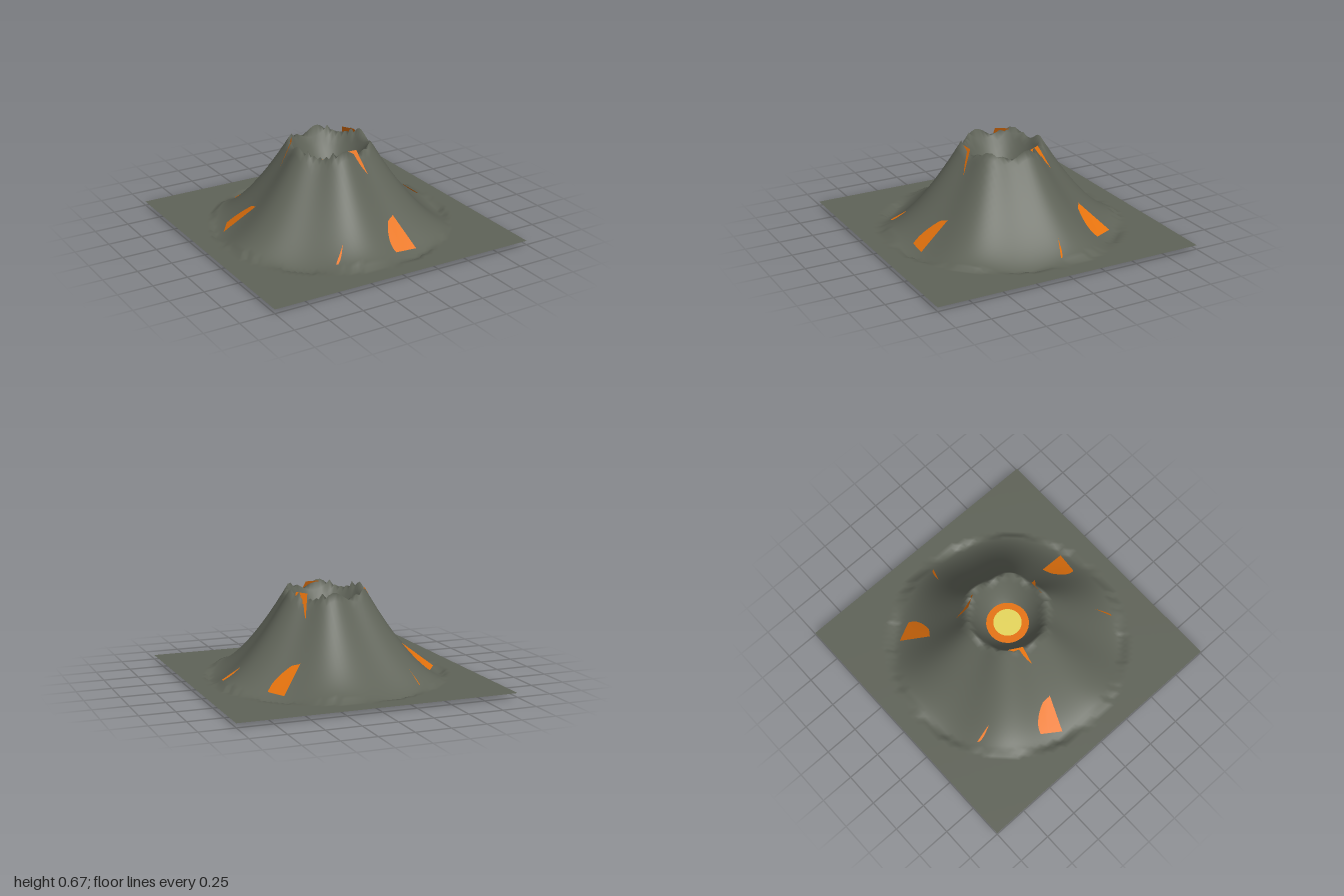
import * as THREE from 'three';

const BASE_Y = 0.03, FOOT = 0.845, RIM = 0.27;

// Ground height: flat plain, six-fold rippled cone, and a bowl-shaped crater
function height(x, z) {
  const r = Math.hypot(x, z);
  if (r > FOOT) return BASE_Y;
  if (r < RIM) return 0.36 + 3.7 * r * r;
  const t = Math.max(0, (0.84 - r) / 0.56);
  return BASE_Y + 0.62 * Math.pow(t, 1.5) - 0.03 * Math.sin(6 * Math.atan2(z, x));
}

function terrainGeometry() {
  const geo = new THREE.PlaneGeometry(2, 2, 64, 64);
  geo.rotateX(-Math.PI / 2);
  const p = geo.attributes.position;
  for (let i = 0; i < p.count; i++) p.setY(i, height(p.getX(i), p.getZ(i)));
  geo.computeVertexNormals();
  return geo;
}

// Ribbon lofted between left and right edge points, from the rim to the foot
function flowGeometry() {
  const rows = [
    [[-0.05, 0.655, 0.27], [0.05, 0.655, 0.27]],
    [[-0.08, 0.38, 0.4], [0.13, 0.38, 0.4]],
    [[-0.12, 0.28, 0.5], [0.19, 0.245, 0.5]],
    [[-0.37, 0.06, 0.7], [0.24, 0.055, 0.75]],
  ];
  const across = 6, pos = [], index = [];
  rows.forEach(([a, b], j) => {
    for (let i = 0; i <= across; i++) {
      for (let k = 0; k < 3; k++) pos.push(a[k] + (b[k] - a[k]) * i / across);
      if (j < rows.length - 1 && i < across) {
        const n = j * (across + 1) + i, m = n + across + 1;
        index.push(n, m, n + 1, n + 1, m, m + 1);
      }
    }
  });
  const geo = new THREE.BufferGeometry();
  geo.setAttribute('position', new THREE.Float32BufferAttribute(pos, 3));
  geo.setIndex(index);
  geo.computeVertexNormals();
  return geo;
}

export function createModel() {
  const group = new THREE.Group();
  group.name = 'volcano';
  const material = (name, color) => {
    const m = new THREE.MeshStandardMaterial({ color, side: THREE.DoubleSide });
    m.name = name;
    return m;
  };
  const rock = material('rock', 0x5f6358);
  const lava = material('lava', 0xff8010);
  const hotLava = material('hotLava', 0xffee66);

  const add = (name, geo, mat) => {
    const mesh = new THREE.Mesh(geo, mat);
    mesh.name = name;
    group.add(mesh);
    return mesh;
  };

  add('terrain', terrainGeometry(), rock);

  // Lava lake with a brighter core
  const disc = (name, r, y, mat) =>
    add(name, new THREE.CircleGeometry(r, 48).rotateX(-Math.PI / 2), mat).position.y = y;
  disc('lavaLake', 0.2, 0.445, lava);
  disc('lavaCore', 0.1, 0.453, hotLava);

  // Three lava flows around the cone
  const flow = flowGeometry();
  for (let i = 0; i < 3; i++) {
    add('lavaFlow' + (i + 1), flow, lava).rotation.y = i * Math.PI * 2 / 3;
  }
  return group;
}
